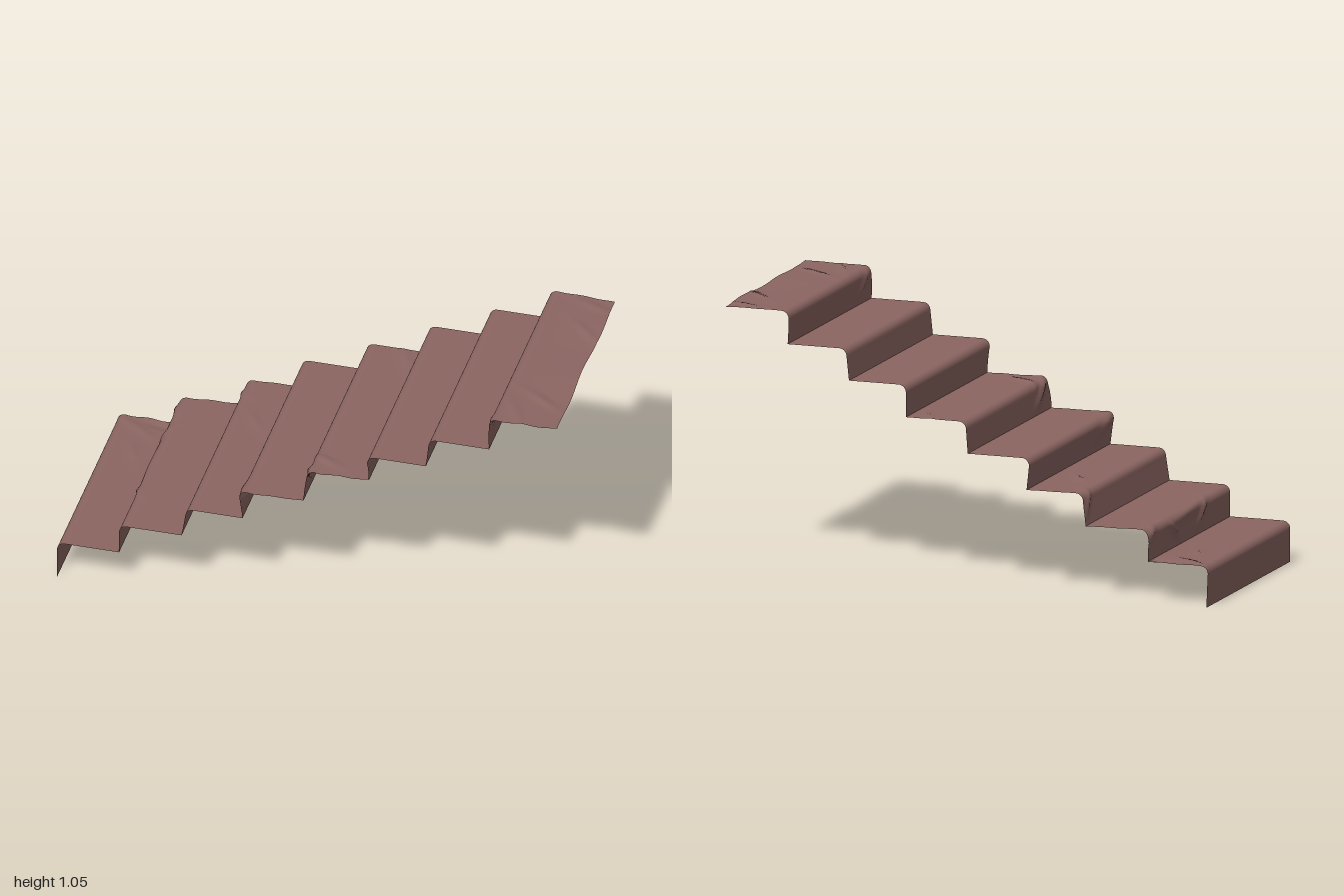
import * as THREE from 'three';

const NOSE = 0.03;   // radius of the rounded front edge of each step
const COLUMNS = 72;  // divisions across the runner

// One entry per step: foot and top of the riser (x), tread height (y),
// edge positions (z) at the riser foot, nose and tread end, and edge waviness.
const STEPS = [
  { foot: -1.0, top: -1.0, y: 0.16, front: [0.455, 0.455, 0.455], back: [-0.465, -0.451, -0.447], waveB: 0.006 },
  { foot: -0.752, top: -0.752, y: 0.285, front: [0.455, 0.455, 0.455], back: [-0.447, -0.449, -0.465], waveB: 0.004 },
  { foot: -0.502, top: -0.487, y: 0.41, front: [0.455, 0.455, 0.455], back: [-0.465, -0.455, -0.465], waveB: 0.002 },
  { foot: -0.258, top: -0.268, y: 0.535, front: [0.455, 0.462, 0.453], back: [-0.465, -0.465, -0.465], waveF: 0.002 },
  { foot: -0.015, top: -0.008, y: 0.66, front: [0.455, 0.436, 0.428], back: [-0.465, -0.465, -0.464], waveF: 0.005 },
  { foot: 0.24, top: 0.24, y: 0.787, front: [0.43, 0.455, 0.455], back: [-0.465, -0.465, -0.465] },
  { foot: 0.475, top: 0.485, y: 0.912, front: [0.455, 0.455, 0.455], back: [-0.465, -0.465, -0.465] },
  { foot: 0.728, top: 0.724, y: 1.042, front: [0.455, 0.442, 0.44], back: [-0.465, -0.465, -0.456], waveF: 0.005, waveB: 0.003 },
];
const END_X = 0.99;

// Soft creases: step, distance along its profile, z, angle, half length, half width, height
const CREASES = [
  [0, 0.24, -0.38, 0.6, 0.09, 0.014, 0.006], [0, 0.27, -0.22, 1.2, 0.06, 0.014, 0.005],
  [0, 0.33, -0.41, 0.2, 0.07, 0.018, -0.006],
  [1, 0.08, 0.15, 0.9, 0.07, 0.012, 0.009], [1, 0.07, -0.16, 2.2, 0.08, 0.012, 0.009],
  [1, 0.1, -0.4, 1.1, 0.06, 0.015, 0.008], [1, 0.11, 0.0, 1.5, 0.18, 0.014, 0.006],
  [2, 0.22, -0.19, 1.0, 0.06, 0.014, 0.005], [2, 0.09, -0.4, 0.7, 0.06, 0.014, 0.007],
  [3, 0.1, 0.4, 1.2, 0.1, 0.02, 0.008],
  [4, 0.08, 0.36, 0.9, 0.08, 0.014, 0.011], [4, 0.17, 0.34, 0.5, 0.07, 0.014, 0.007],
  [4, 0.29, -0.4, 1.1, 0.08, 0.016, 0.005],
  [7, 0.33, -0.22, 0.8, 0.09, 0.014, 0.007], [7, 0.28, 0.26, 0.6, 0.1, 0.014, 0.007],
  [7, 0.2, 0.36, 1.1, 0.09, 0.016, 0.006], [7, 0.08, 0.37, 0.9, 0.07, 0.014, 0.007],
  [7, 0.32, -0.4, 0.4, 0.07, 0.016, 0.006],
];

function creaseHeight(step, s, z) {
  let h = 0;
  for (const [k, cs, cz, angle, length, width, height] of CREASES) {
    if (k !== step) continue;
    const ds = s - cs, dz = z - cz;
    const along = (ds * Math.cos(angle) + dz * Math.sin(angle)) / length;
    const across = (dz * Math.cos(angle) - ds * Math.sin(angle)) / width;
    h += height * Math.exp(-along * along - across * across);
  }
  return h;
}

// Profile of riser, rounded nose and tread, each point with its outward normal
function stepProfile(k) {
  const { foot, top, y } = STEPS[k];
  const y0 = k ? STEPS[k - 1].y : 0;
  const end = k < 7 ? STEPS[k + 1].foot : END_X;
  const points = [];
  const add = (x, py, nx, ny, t) => points.push({ x, y: py, nx, ny, t });
  for (let i = 0; i < 8; i++) {
    const f = i / 8;
    add(THREE.MathUtils.lerp(foot, top, f), THREE.MathUtils.lerp(y0, y - NOSE, f), -1, 0, f);
  }
  for (let i = 0; i <= 6; i++) {
    const a = (i / 6) * Math.PI / 2;
    add(top + NOSE * (1 - Math.cos(a)), y - NOSE * (1 - Math.sin(a)), -Math.cos(a), Math.sin(a), 1);
  }
  for (let i = 1; i <= 18; i++) {
    add(THREE.MathUtils.lerp(top + NOSE, end, i / 18), y, 0, 1, 1 + i / 18);
  }
  let s = 0;
  points.forEach((p, i) => {
    if (i) s += Math.hypot(p.x - points[i - 1].x, p.y - points[i - 1].y);
    p.s = s;
  });
  return points;
}

// Edge position, interpolated foot - nose - tread end
function edgeAt([foot, nose, end], t) {
  return t < 1 ? THREE.MathUtils.lerp(foot, nose, t * t) : THREE.MathUtils.lerp(nose, end, t - 1);
}

function stepGeometry(k) {
  const { waveF = 0, waveB = 0, front, back } = STEPS[k];
  const positions = [], indices = [];
  const profile = stepProfile(k);
  profile.forEach((p, i) => {
    const ripple = Math.sin(Math.PI * Math.min(p.t, 1)) + (p.t > 1 ? Math.sin((p.t - 1) * 11) : 0);
    const zF = edgeAt(front, p.t) + waveF * ripple * 0.7;
    const zB = edgeAt(back, p.t) + waveB * ripple * 0.7;
    for (let j = 0; j <= COLUMNS; j++) {
      const z = THREE.MathUtils.lerp(zB, zF, j / COLUMNS);
      // creases fade out where the sheet is tucked into a corner
      const fade = Math.min(1, p.s / 0.04);
      const h = creaseHeight(k, p.s, z) * fade;
      // the loose top end is slightly uneven
      const loose = k === 7 ? Math.max(0, p.t - 1) ** 3 : 0;
      const pull = loose * (0.01 * Math.max(0, z / 0.45) ** 4 - 0.004 * Math.cos(z * 14));
      positions.push(p.x + p.nx * h + pull, p.y + p.ny * h + loose * 0.003 * Math.sin(z * 17), z);
      if (i < profile.length - 1 && j < COLUMNS) {
        const a = i * (COLUMNS + 1) + j, c = a + COLUMNS + 1;
        indices.push(a, a + 1, c, a + 1, c + 1, c);
      }
    }
  });
  const geometry = new THREE.BufferGeometry();
  geometry.setAttribute('position', new THREE.Float32BufferAttribute(positions, 3));
  geometry.setIndex(indices);
  geometry.computeVertexNormals();
  return geometry;
}

export function createModel() {
  const group = new THREE.Group();
  group.name = 'stairRunner';
  const carpet = new THREE.MeshStandardMaterial({ color: 0x8c6662, side: THREE.DoubleSide });
  carpet.name = 'dusty rose carpet';
  STEPS.forEach((_, k) => {
    const step = new THREE.Mesh(stepGeometry(k), carpet);
    step.name = `carpetStep${k + 1}`;
    group.add(step);
  });
  return group;
}
